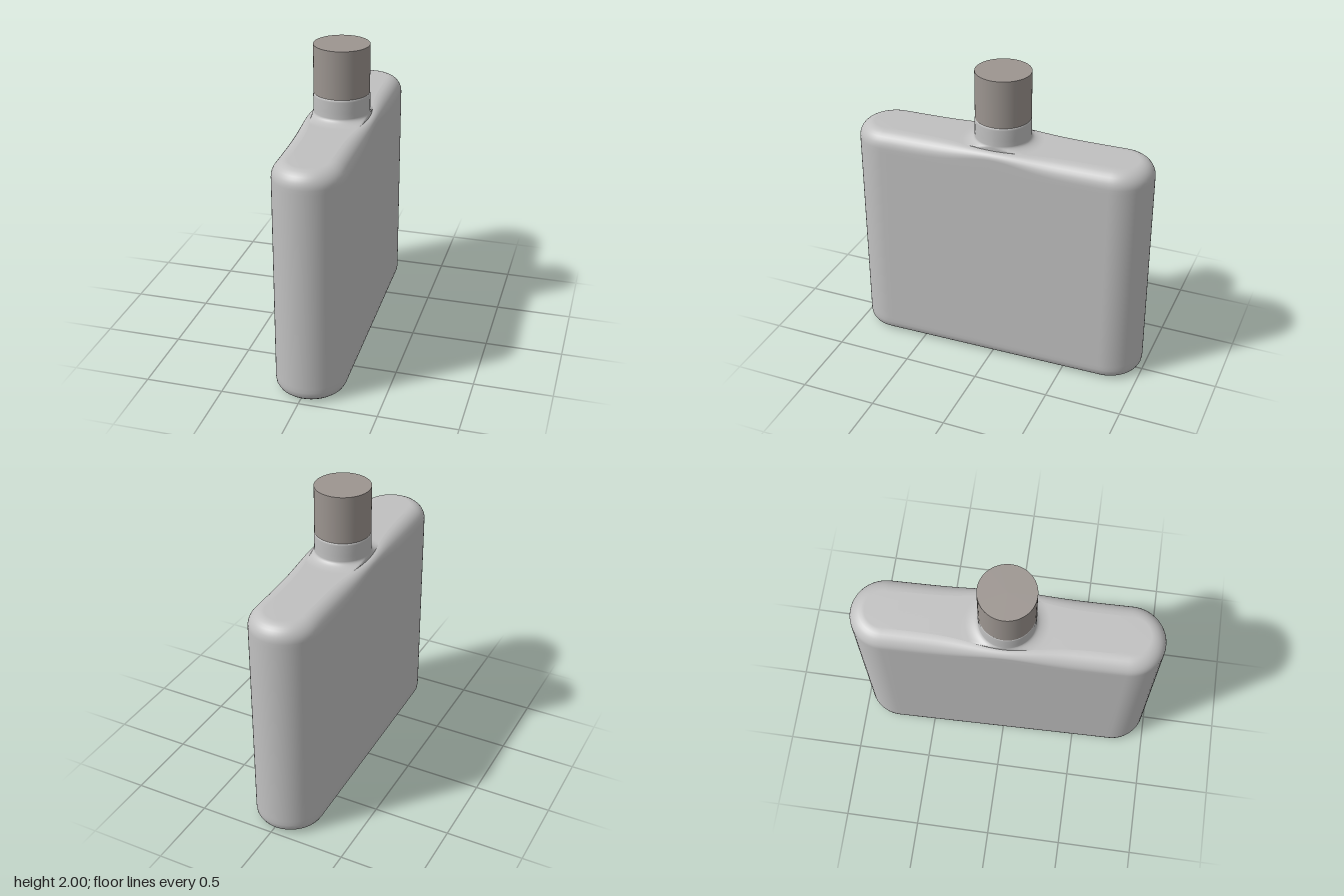
import * as THREE from 'three';

const R = 0.226;      // half thickness of the body
const L = 0.759;      // half length of its straight sides
const TOP = 1.53;     // shoulder height
const NECK = 0.18;    // neck radius

// Stadium outline, counted from +x: base point on the spine plus outward direction
function outline() {
  const pts = [], side = 40, cap = 28;
  for (const s of [1, -1]) {
    for (let i = 0; i < side; i++) {
      const t = (i / side) * 2 - 1;
      const z = L * Math.sign(t) * Math.abs(t) ** 1.5;
      pts.push({ z: s * z, nx: s, nz: 0 });
    }
    for (let i = 0; i < cap; i++) {
      const a = (i / cap) * Math.PI;
      pts.push({ z: s * L, nx: s * Math.cos(a), nz: s * Math.sin(a) });
    }
  }
  return pts;
}

// Skin a stack of closed rings with smooth normals
function loft(rings) {
  const n = rings[0].length, pos = rings.flat(2), index = [];
  for (let i = 0; i < rings.length - 1; i++) {
    for (let j = 0; j < n; j++) {
      const k = (j + 1) % n;
      const a = i * n + j, b = i * n + k, c = a + n, d = b + n;
      index.push(a, c, b, b, c, d);
    }
  }
  const g = new THREE.BufferGeometry();
  g.setAttribute('position', new THREE.Float32BufferAttribute(pos, 3));
  g.setIndex(index);
  g.computeVertexNormals();
  return g;
}

function bodyGeometry() {
  const pts = outline(), rings = [];
  const inset = (p, d) => [p.nx * (R - d), p.z + p.nz * (R - d)];
  const addRing = (f) => rings.push(pts.map(f));

  // Recessed base, its rim and the rounded lower edge: [inset, height]
  const base = [[R, 0.05], [0.16, 0.05], [0.145, 0.047], [0.125, 0.035], [0.105, 0.016],
    [0.09, 0.005], [0.075, 0], [0.055, 0], [0.035, 0.007], [0.016, 0.023], [0.004, 0.044], [0, 0.07], [0, 0.1]];
  for (const [d, y] of base) addRing((p) => { const [x, z] = inset(p, d); return [x, y, z]; });

  // Rounded upper edge, tighter beside the neck
  const edge = (p) => 0.1 - 0.055 * Math.exp(-((p.z / 0.27) ** 2));
  addRing((p) => { const [x, z] = inset(p, 0); return [x, 1.4, z]; });
  for (let i = 0; i <= 8; i++) {
    const a = (i / 8) * Math.PI / 2;
    addRing((p) => {
      const r = edge(p), [x, z] = inset(p, r * (1 - Math.cos(a)));
      return [x, TOP - r + r * Math.sin(a), z];
    });
  }

  // Shoulder running in to the fillet around the neck
  const radial = (p, dist, y) => {
    const [x, z] = inset(p, edge(p)), len = Math.hypot(x, z);
    const r = NECK + Math.min(dist, Math.max(0, len - NECK));
    return [x / len * r, y, z / len * r];
  };
  for (const d of [0.5, 0.3, 0.18, 0.12]) addRing((p) => radial(p, d, TOP));
  for (let i = 0; i <= 8; i++) {
    const a = (i / 8) * Math.PI / 2;
    addRing((p) => radial(p, 0.08 * (1 - Math.sin(a)), TOP + 0.035 * (1 - Math.cos(a))));
  }

  // Neck and its rounded lip
  for (const [r, y] of [[0, 1.6], [0, 1.672], [-0.001, 1.68], [-0.004, 1.686], [-0.01, 1.69], [-0.03, 1.69]]) {
    addRing((p) => {
      const [x, , z] = radial(p, 0, y);
      return [x * (1 + r / NECK), y, z * (1 + r / NECK)];
    });
  }
  return loft(rings);
}

export function createModel() {
  const glass = new THREE.MeshStandardMaterial({ color: 0xc0c0c0 });
  glass.name = 'pale grey';
  const capGrey = new THREE.MeshStandardMaterial({ color: 0x9c9590 });
  capGrey.name = 'warm grey';

  const model = new THREE.Group();
  model.name = 'flatFlask';

  // Body and neck, turned slightly
  const body = new THREE.Mesh(bodyGeometry(), glass);
  body.name = 'body';
  body.rotation.y = 0.022;
  model.add(body);

  // Cylindrical cap
  const cap = new THREE.Mesh(new THREE.CylinderGeometry(0.178, 0.178, 0.312, 64), capGrey);
  cap.name = 'cap';
  cap.position.y = 1.844;
  model.add(cap);
  return model;
}
